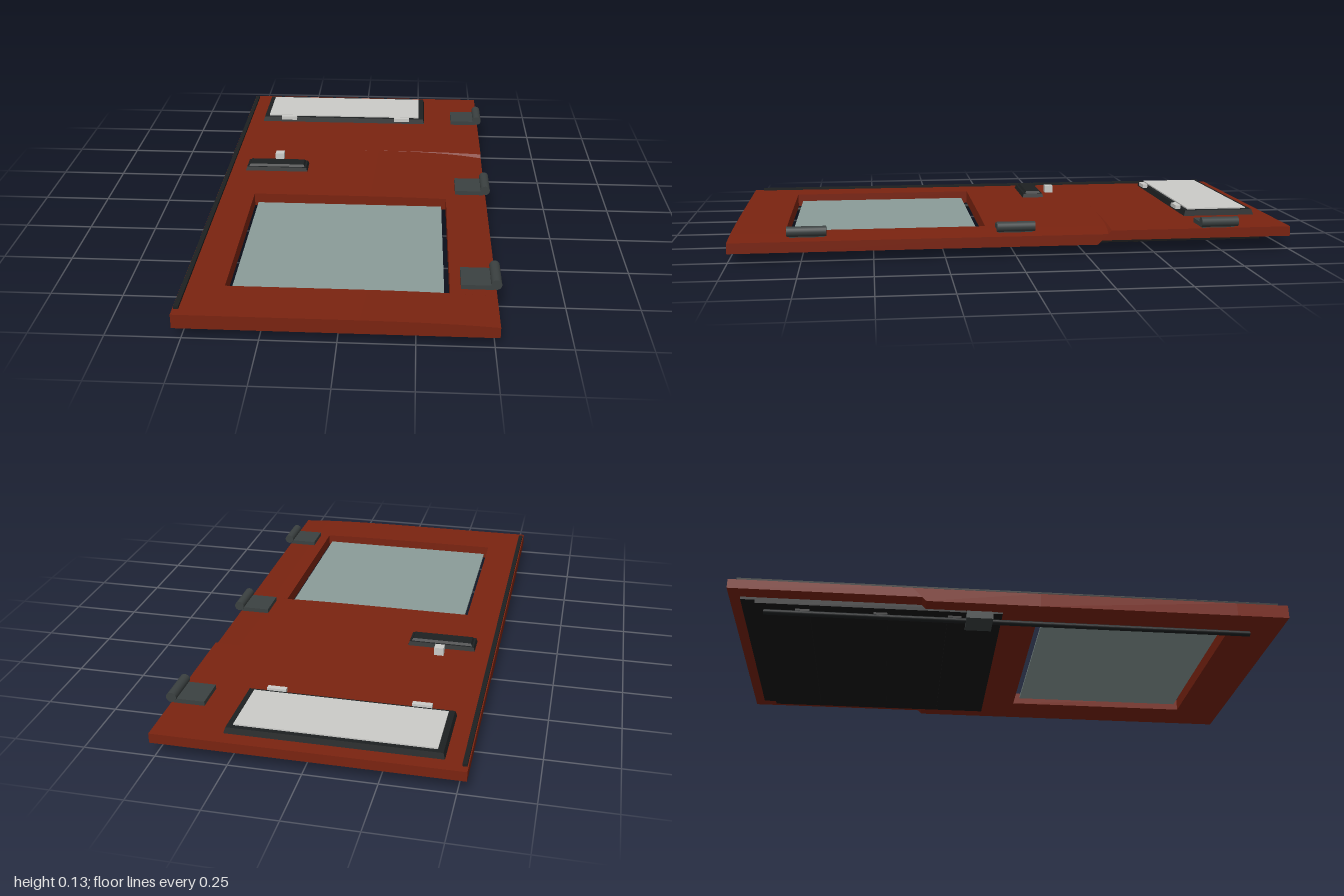
import * as THREE from 'three';

const mat = (name, color) => Object.assign(new THREE.MeshStandardMaterial({ color }), { name });

export function createModel() {
  const red = mat('rust red paint', 0x7a2310);
  const black = mat('black rubber', 0x1d2021);
  const lining = mat('black lining', 0x161616);
  const steel = mat('dark steel', 0x3b4141);
  const glass = mat('grey green glass', 0x8b9c99);
  const pale = mat('pale grey', 0xcbcbc8);

  const model = new THREE.Group();
  model.name = 'door';

  const add = (name, geometry, material) => {
    const mesh = new THREE.Mesh(geometry, material);
    mesh.name = name;
    model.add(mesh);
    return mesh;
  };

  // Box given by its limits on each axis
  const block = (name, material, [x0, x1], [y0, y1], [z0, z1], segments = 1) =>
    add(name, new THREE.BoxGeometry(x1 - x0, y1 - y0, z1 - z0, segments, 1, 1)
      .translate((x0 + x1) / 2, (y0 + y1) / 2, (z0 + z1) / 2), material);

  // Box whose top is smaller than its base by an inset on every side
  const bevelled = (name, material, xs, ys, zs, inset) => {
    const mesh = block(name, material, xs, ys, zs);
    const p = mesh.geometry.attributes.position;
    const cx = (xs[0] + xs[1]) / 2, cz = (zs[0] + zs[1]) / 2;
    for (let i = 0; i < p.count; i++) {
      if (p.getY(i) < (ys[0] + ys[1]) / 2) continue;
      p.setX(i, p.getX(i) - Math.sign(p.getX(i) - cx) * inset);
      p.setZ(i, p.getZ(i) - Math.sign(p.getZ(i) - cz) * inset);
    }
    mesh.geometry.computeVertexNormals();
    return mesh;
  };

  // Door skin: the large panel droops towards the hinge edge, leaving a curved step
  const TOP = 0.085, SEAM = -0.36;
  const bend = (x) => Math.max(0, (x + 0.15) / 0.66);
  const skin = (name, xs, y0, zs, droops) => {
    const mesh = block(name, red, xs, [y0, TOP], zs, 16);
    const p = mesh.geometry.attributes.position;
    for (let i = 0; i < p.count; i++) {
      const x = p.getX(i), t = bend(x);
      if (droops && p.getY(i) > 0.06) p.setY(i, TOP - 0.012 * t ** 4);
      if (Math.abs(p.getZ(i) - SEAM) < 1e-4) {
        p.setZ(i, SEAM + 0.018 * t ** 4 + (TOP - p.getY(i)));
      }
    }
    mesh.geometry.computeVertexNormals();
  };
  skin('upperPanel', [-0.53, 0.515], 0.05, [-1, SEAM], false);
  skin('middlePanel', [-0.53, 0.515], 0.035, [SEAM, 0.095], true);
  skin('lowerRail', [-0.53, 0.515], 0.035, [0.81, 1], true);
  skin('latchStile', [-0.53, -0.385], 0.035, [0.095, 0.81], true);
  skin('hingeStile', [0.36, 0.515], 0.035, [0.095, 0.81], true);

  // Large window pane, floating inside its opening
  block('windowPane', glass, [-0.368, 0.342], [0.052, 0.06], [0.12, 0.79]);

  // Small framed hatch with two clips
  bevelled('hatchFrame', black, [-0.452, 0.277], [TOP, 0.105], [-0.946, -0.674], 0.006);
  block('hatchPanel', pale, [-0.426, 0.25], [0.103, 0.11], [-0.922, -0.694]);
  for (const x of [-0.333, 0.175]) {
    block('hatchClip', pale, [x - 0.034, x + 0.034], [0.099, 0.114], [-0.68, -0.66]);
  }

  // Handle and lock knob
  bevelled('handleBase', black, [-0.452, -0.2], [TOP, 0.1], [-0.21, -0.123], 0.005);
  bevelled('handleGrip', black, [-0.44, -0.212], [0.1, 0.109], [-0.198, -0.135], 0.005);
  block('lockKnob', pale, [-0.343, -0.308], [TOP, 0.115], [-0.267, -0.234]);

  // Seal along the latch edge
  block('edgeSeal', black, [-0.526, -0.51], [TOP, 0.094], [-0.97, 0.965]);

  // Three hinges
  for (const z of [-0.735, 0.002, 0.728]) {
    block('hingePlate', steel, [0.396, 0.505], [TOP, 0.101], [z - 0.06, z + 0.06]);
    const barrel = add('hingeBarrel', new THREE.CylinderGeometry(0.018, 0.018, 0.135, 20), steel);
    barrel.rotation.x = Math.PI / 2;
    barrel.position.set(0.512, 0.108, z);
  }

  // Inner lining with three cross ribs
  block('liningBack', lining, [-0.47, 0.447], [0.04, 0.052], [-0.96, -0.3]);
  block('liningPanel', lining, [-0.47, 0.447], [0.028, 0.052], [-0.91, -0.035]);
  for (const z of [-0.205, -0.47, -0.745]) {
    block('liningRib', lining, [-0.44, 0.415], [0.02, 0.029], [z - 0.025, z + 0.025]);
  }

  // Locking rod and its gearbox
  const rod = add('lockRod', new THREE.CylinderGeometry(0.01, 0.01, 1.76, 16), black);
  rod.rotation.x = Math.PI / 2;
  rod.position.set(-0.433, 0.013, 0);
  block('lockBox', steel, [-0.485, -0.385], [0, 0.028], [-0.165, -0.07]);

  return model;
}
